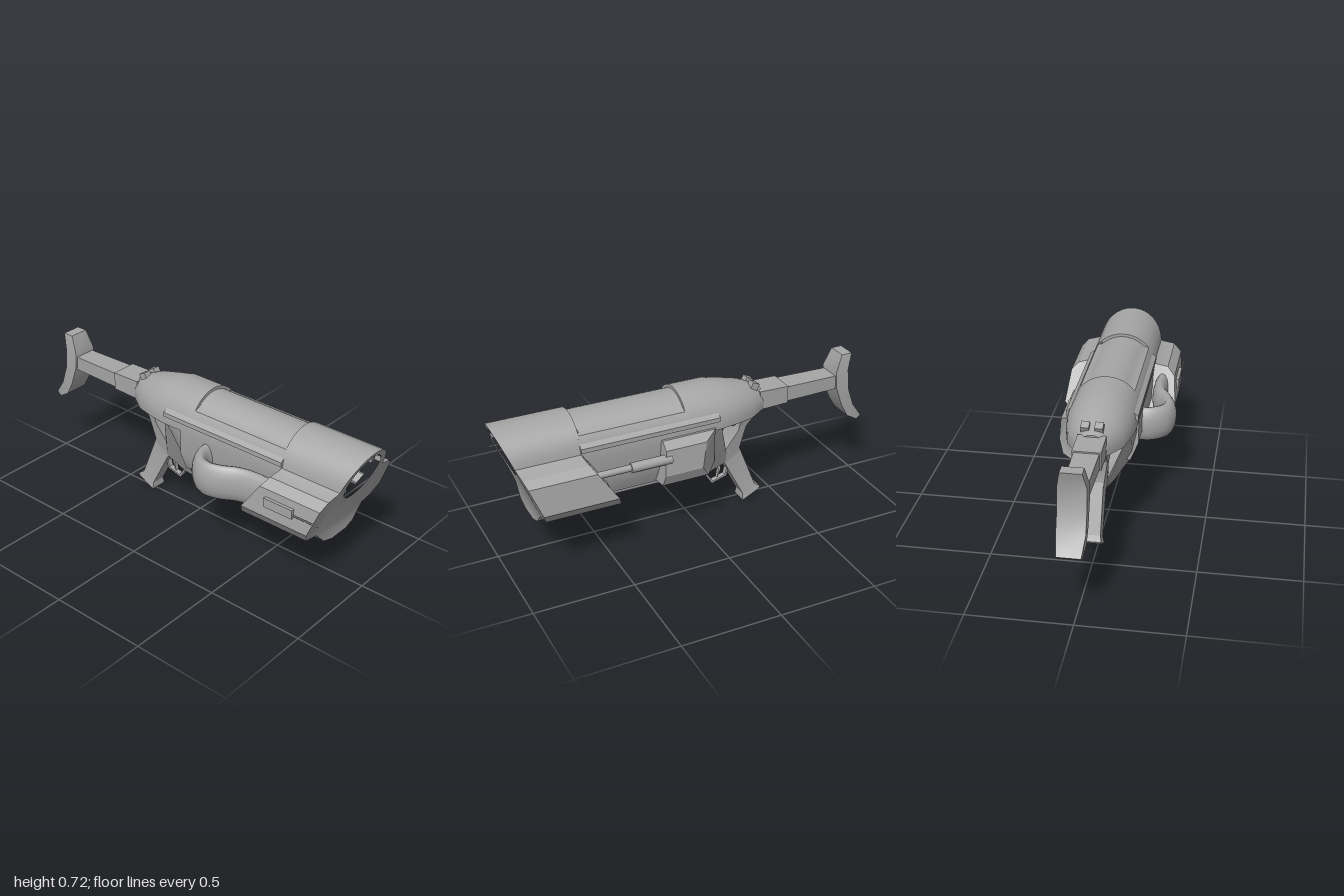
import * as THREE from 'three';
import { toCreasedNormals } from 'three/addons/utils/BufferGeometryUtils.js';

const ZC = -0.018; // centre plane of the body

export function createModel() {
  const model = new THREE.Group();
  const gunmetal = new THREE.MeshStandardMaterial({ color: 0xa6a6a6 });
  gunmetal.name = 'grey metal';

  const add = (name, geometry, x = 0, y = 0, z = 0) => {
    const mesh = new THREE.Mesh(geometry, gunmetal);
    mesh.name = name;
    mesh.position.set(x, y, z);
    model.add(mesh);
    return mesh;
  };
  const box = (name, x0, x1, y0, y1, z0, z1) =>
    add(name, new THREE.BoxGeometry(x1 - x0, y1 - y0, z1 - z0), (x0 + x1) / 2, (y0 + y1) / 2, (z0 + z1) / 2);
  const rod = (name, x0, x1, y, z, r, sides = 10) =>
    add(name, new THREE.CylinderGeometry(r, r, x1 - x0, sides).rotateZ(Math.PI / 2), (x0 + x1) / 2, y, z);

  // Side outline [x, y, half width], each corner with its own thickness
  const slab = (name, pts) => {
    const shape = new THREE.Shape(pts.map(([x, y]) => new THREE.Vector2(x, y)));
    const g = new THREE.ExtrudeGeometry(shape, { depth: 1, bevelEnabled: false });
    const p = g.attributes.position;
    for (let i = 0; i < p.count; i++) {
      const c = pts.find(([x, y]) => Math.hypot(x - p.getX(i), y - p.getY(i)) < 1e-4);
      p.setZ(i, ZC + (p.getZ(i) > 0.5 ? c[2] : -c[2]));
    }
    return add(name, toCreasedNormals(g, 0.5));
  };

  // Cross-section [z, y] run along x between two end rules
  const run = (name, pts, back, front, hole) => {
    const toShape = list => list.map(([z, y]) => new THREE.Vector2(-z, y));
    const shape = new THREE.Shape(toShape(pts));
    if (hole) shape.holes.push(new THREE.Path(toShape(hole)));
    const g = new THREE.ExtrudeGeometry(shape, { depth: 1, bevelEnabled: false }).rotateY(Math.PI / 2);
    const p = g.attributes.position;
    for (let i = 0; i < p.count; i++) {
      p.setX(i, (p.getX(i) > 0.5 ? front : back)(p.getY(i), p.getZ(i)));
    }
    return add(name, toCreasedNormals(g, 0.5));
  };

  // Skin through matching closed sections, with end caps
  const loft = (name, sections) => {
    const n = sections[0].length, pos = [];
    const tri = (a, b, c) => pos.push(...a, ...b, ...c);
    for (let i = 0; i < sections.length - 1; i++) {
      for (let j = 0; j < n; j++) {
        const k = (j + 1) % n, s = sections[i], t = sections[i + 1];
        tri(s[j], t[j], s[k]);
        tri(t[j], t[k], s[k]);
      }
    }
    const first = sections[0], last = sections[sections.length - 1];
    for (let j = 1; j < n - 1; j++) {
      tri(first[0], first[j], first[j + 1]);
      tri(last[0], last[j + 1], last[j]);
    }
    const g = new THREE.BufferGeometry();
    g.setAttribute('position', new THREE.Float32BufferAttribute(pos, 3));
    g.computeVertexNormals();
    return add(name, toCreasedNormals(g, 0.5));
  };

  // Receiver and barrel jacket, with a sunken top panel
  const section = (x, hw, top, bottom, sunk = 0) => {
    const pts = [];
    for (let i = 0; i <= 20; i++) {
      const a = Math.PI * i / 20;
      const d = Math.sin(a) > 0.68 ? sunk : 0;
      const base = 0.55;
      pts.push([x, base + (top - base - d) * Math.sin(a), ZC + (hw - d) * Math.cos(a)]);
    }
    pts.push([x, bottom, ZC - hw], [x, bottom, ZC + hw]);
    return pts;
  };
  loft('receiver', [
    section(-0.4, 0.07, 0.635, 0.53),
    section(-0.3, 0.135, 0.678, 0.53),
    section(-0.2, 0.158, 0.702, 0.53),
    section(-0.12, 0.17, 0.72, 0.53),
    section(0.07, 0.17, 0.72, 0.53),
    section(0.07, 0.17, 0.72, 0.53, 0.015),
    section(0.62, 0.17, 0.72, 0.53, 0.015),
  ]);
  run('lowerDeck', [[0.15, 0.56], [0.15, 0.4], [0.11, 0.3], [-0.145, 0.3], [-0.185, 0.4], [-0.185, 0.56]],
    () => 0.0, () => 0.62);

  // Side ridges
  for (const s of [1, -1]) {
    run('sideRidge', [[0.15, 0.56], [0.178, 0.575], [0.178, 0.598], [0.15, 0.62]].map(([z, y]) => [ZC + s * z, y]),
      () => -0.1, () => 0.62);
  }

  // Muzzle housing and barrel mouth, cut on a slant
  const outline = [];
  for (let i = 0; i <= 16; i++) {
    const a = Math.PI * (0.03 + 0.94 * i / 16);
    outline.push([ZC + 0.17 * Math.cos(a), 0.55 + 0.17 * Math.sin(a)]);
  }
  outline.push([-0.2, 0.56], [-0.26, 0.545], [-0.295, 0.51], [-0.315, 0.365], [-0.275, 0.31], [-0.2, 0.3],
    [-0.135, 0.235], [-0.075, 0.215], [0.035, 0.215], [0.1, 0.235], [0.165, 0.3], [0.24, 0.31],
    [0.28, 0.37], [0.265, 0.51], [0.225, 0.55], [0.16, 0.56]);
  const bore = [];
  for (let i = 0; i < 18; i++) {
    const a = i * Math.PI / 9;
    bore.push([ZC + 0.12 * Math.cos(a), 0.575 + 0.12 * Math.sin(a)]);
  }
  const mouth = y => 1 - 0.4 * (0.72 - Math.max(y, 0.31));
  run('muzzleHousing', outline,
    y => Math.max(0.46, 0.615 - 0.674 * Math.max(0, 0.56 - y)), mouth, bore);

  // Ribs inside the bore
  for (let i = 0; i < 6; i++) {
    const a = (103 + 60 * i) * Math.PI / 180;
    const rib = [[0.122, -0.032], [0.122, 0.032], [0.106, 0.024], [0.106, -0.024]].map(([r, t]) =>
      [ZC + r * Math.cos(a) - t * Math.sin(a), 0.575 + r * Math.sin(a) + t * Math.cos(a)]);
    run('boreRib', rib, () => 0.6, y => mouth(y) - 0.03);
  }

  // Lower frame ahead of the window
  slab('lowerFrame', [[-0.12, 0.54, 0.15], [-0.205, 0.31, 0.05], [-0.205, 0.25, 0.04], [-0.07, 0.22, 0.06],
    [0.02, 0.235, 0.085], [0.03, 0.3, 0.13], [0.1, 0.4, 0.165], [0.1, 0.54, 0.168]]);

  // Rear strut running into the grip
  slab('rearStrut', [[-0.4, 0.55, 0.068], [-0.31, 0.45, 0.06], [-0.285, 0.32, 0.04], [-0.29, 0.3, 0.038],
    [-0.2, 0.24, 0.038], [-0.19, 0.31, 0.045], [-0.265, 0.43, 0.06], [-0.27, 0.48, 0.07], [-0.22, 0.55, 0.11]]);
  slab('grip', [[-0.285, 0.32, 0.037], [-0.38, 0.08, 0.037], [-0.41, 0.06, 0.045], [-0.4, 0.045, 0.045],
    [-0.31, 0, 0.045], [-0.312, 0.035, 0.037], [-0.2, 0.25, 0.037]]);
  rod('bolt', -0.28, -0.15, 0.46, ZC, 0.012);
  rod('boltHead', -0.27, -0.25, 0.46, ZC, 0.028);
  rod('boltCollar', -0.185, -0.14, 0.46, ZC, 0.045);

  // Trigger and its guard
  const guard = [[-0.235, 0.215], [-0.222, 0.158], [-0.145, 0.135], [-0.09, 0.22]];
  for (let i = 0; i < 3; i++) {
    const [x0, y0] = guard[i], [x1, y1] = guard[i + 1];
    const bar = add('triggerGuard', new THREE.BoxGeometry(Math.hypot(x1 - x0, y1 - y0) + 0.008, 0.01, 0.028),
      (x0 + x1) / 2, (y0 + y1) / 2, ZC);
    bar.rotation.z = Math.atan2(y1 - y0, x1 - x0);
  }
  slab('trigger', [[-0.19, 0.25, 0.01], [-0.195, 0.2, 0.01], [-0.175, 0.155, 0.01], [-0.182, 0.2, 0.01], [-0.16, 0.25, 0.01]]);

  // Stock
  slab('stockSleeve', [[-0.54, 0.53, 0.068], [-0.38, 0.525, 0.068], [-0.38, 0.625, 0.068], [-0.54, 0.622, 0.068]]);
  slab('stockArm', [[-0.86, 0.54, 0.055], [-0.53, 0.535, 0.06], [-0.53, 0.615, 0.06], [-0.86, 0.612, 0.055]]);
  slab('buttPlate', [[-0.92, 0.722, 0.05], [-0.862, 0.722, 0.05], [-0.825, 0.63, 0.064], [-0.83, 0.55, 0.066],
    [-0.87, 0.44, 0.066], [-0.91, 0.37, 0.064], [-0.975, 0.33, 0.055], [-1, 0.35, 0.055],
    [-0.94, 0.43, 0.066], [-0.905, 0.53, 0.066], [-0.895, 0.64, 0.066]]);

  // Pair of small sights behind the receiver hump
  for (const z of [-0.054, 0.012]) {
    box('rearSight', -0.375, -0.335, 0.635, 0.672, z - 0.02, z + 0.02).rotation.z = 0.45;
  }

  // Wide feed hose on the left side
  const path = new THREE.CatmullRomCurve3([[0.165, 0.12], [0.172, 0.19], [0.215, 0.25], [0.27, 0.27], [0.34, 0.253],
    [0.42, 0.212], [0.5, 0.198], [0.6, 0.2]].map(([x, z]) => new THREE.Vector3(x, 0, z)));
  add('feedHose', new THREE.TubeGeometry(path, 36, 0.04, 16).scale(1, 2.3, 1), 0, 0.425, 0);

  // Thin side plate with an antenna
  box('sidePlate', 0.62, 0.78, 0.425, 0.472, 0.265, 0.285);
  rod('antenna', 0.77, 0.92, 0.447, 0.282, 0.004, 6);

  // Right side pod and the piston rods feeding the housing
  run('sidePod', [[-0.1, 0.545], [-0.2, 0.545], [-0.24, 0.51], [-0.255, 0.38], [-0.23, 0.32], [-0.1, 0.3]],
    (y, z) => -0.12 + Math.max(0, -0.17 - z) / 0.085 * 0.14,
    y => 0.21 + 0.15 * Math.max(0, 0.51 - y) * 0.5);
  rod('pistonSleeve', 0.18, 0.39, 0.46, -0.23, 0.025, 12);
  rod('pistonRod', 0.38, 0.58, 0.46, -0.228, 0.017, 12);

  // Guide rods under the deck
  for (const z of [-0.085, ZC, 0.05]) rod('guideRod', 0.0, 0.48, 0.272, z, 0.022, 10);

  return model;
}
